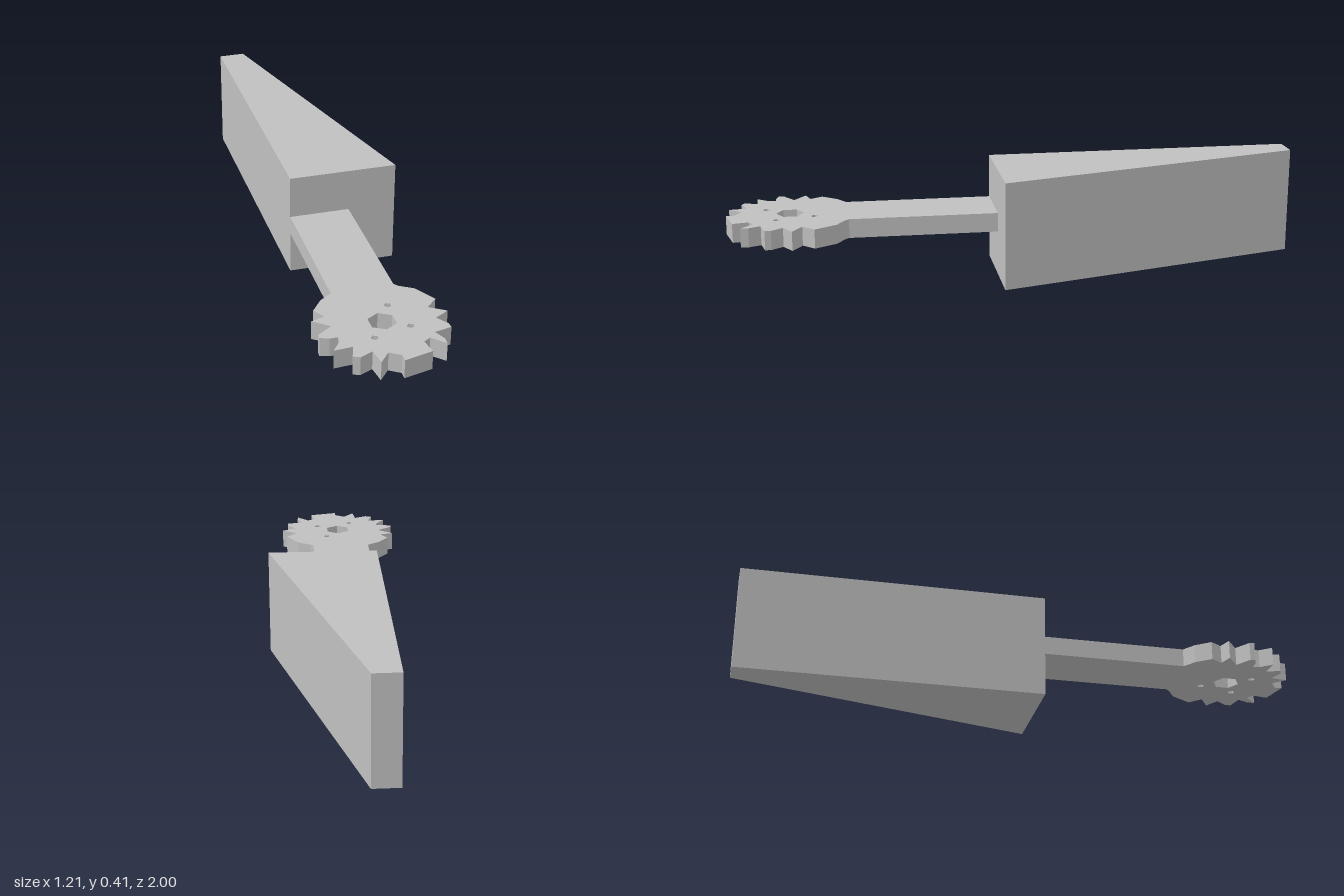
import * as THREE from 'three';

const steel = new THREE.MeshStandardMaterial({ color: 0xc0c0c0 });
steel.name = 'lightGrey';

const toPath = (points) => points.map(([x, z]) => new THREE.Vector2(x, -z));

// Regular polygon hole in plan (x, z)
function hole(cx, cz, radius, sides) {
  const pts = [];
  for (let i = 0; i < sides; i++) {
    const a = (i / sides) * Math.PI * 2;
    pts.push([cx + radius * Math.cos(a), cz + radius * Math.sin(a)]);
  }
  return new THREE.Path(toPath(pts));
}

// Upright slab from a plan outline, between two heights
function slab(name, outline, bottom, top, holes = []) {
  const shape = new THREE.Shape(toPath(outline));
  shape.holes.push(...holes);
  const geometry = new THREE.ExtrudeGeometry(shape, { depth: top - bottom, bevelEnabled: false });
  geometry.rotateX(-Math.PI / 2);
  geometry.translate(0, bottom, 0);
  const mesh = new THREE.Mesh(geometry, steel);
  mesh.name = name;
  return mesh;
}

export function createModel() {
  const group = new THREE.Group();
  group.name = 'toothedKey';

  // Tapered handle block
  const handle = [[0.515, -1], [0.605, -0.95], [0.29, 0.235], [-0.075, 0.025]];
  group.add(slab('handle', handle, 0, 0.41));

  // Flat arm running into an irregular toothed wheel
  const arm = [[-0.155, 0.625], [0.128, 0.142], [-0.075, 0.025], [-0.357, 0.508]];
  const teeth = [
    [-0.415, 0.513], [-0.479, 0.54], [-0.479, 0.593], [-0.532, 0.582], [-0.505, 0.651],
    [-0.574, 0.656], [-0.585, 0.672], [-0.563, 0.698], [-0.537, 0.714], [-0.553, 0.735],
    [-0.605, 0.757], [-0.542, 0.788], [-0.585, 0.825], [-0.569, 0.847], [-0.516, 0.852],
    [-0.542, 0.915], [-0.484, 0.894], [-0.463, 0.937], [-0.479, 0.963], [-0.373, 0.995],
    [-0.352, 0.937], [-0.32, 0.937], [-0.304, 1], [-0.288, 0.975], [-0.283, 0.926],
    [-0.22, 0.947], [-0.209, 0.926], [-0.214, 0.873], [-0.151, 0.873], [-0.183, 0.81],
    [-0.124, 0.794], [-0.124, 0.698], [-0.151, 0.646],
  ];
  // Central hexagonal bore and three small pin holes
  const holes = [
    hole(-0.36, 0.755, 0.052, 6),
    hole(-0.272, 0.702, 0.014, 5),
    hole(-0.452, 0.804, 0.014, 5),
    hole(-0.312, 0.843, 0.014, 5),
  ];
  group.add(slab('armAndToothedWheel', [...arm, ...teeth], 0.17, 0.243, holes));

  return group;
}
